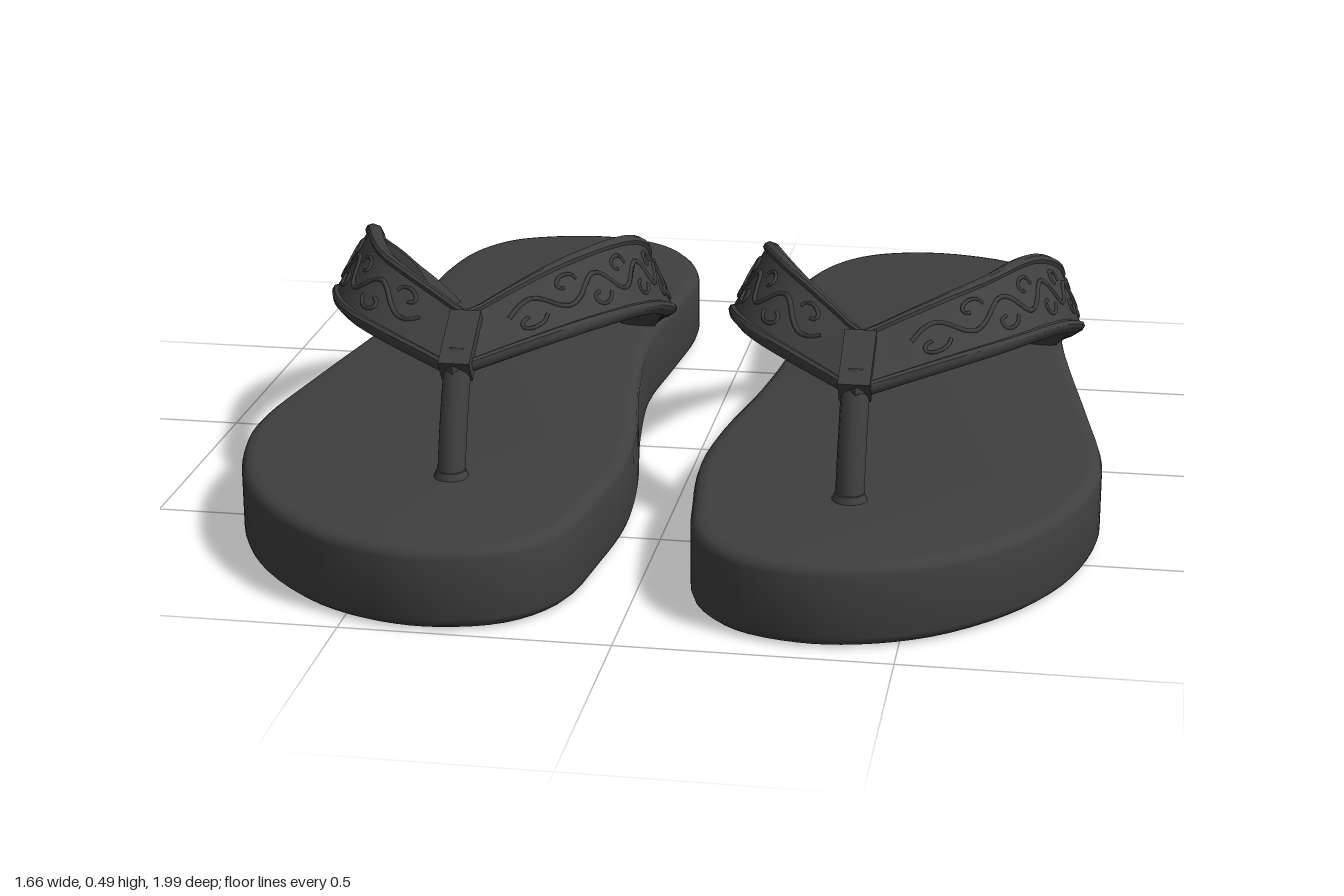
import * as THREE from 'three';
import { mergeGeometries, toCreasedNormals } from 'three/addons/utils/BufferGeometryUtils.js';

const rubber = new THREE.MeshStandardMaterial({ color: 0x3f3f3f });
rubber.name = 'charcoal rubber';

const V = (x, y, z) => new THREE.Vector3(x, y, z);

// Sole outline as [x, z], for the sandal on the +x side
const OUTLINE = [
  [0.41, -0.99], [0.585, -0.94], [0.655, -0.86], [0.695, -0.74], [0.72, -0.4], [0.75, -0.19],
  [0.795, 0.08], [0.83, 0.32], [0.825, 0.45], [0.775, 0.63], [0.69, 0.77], [0.56, 0.89],
  [0.43, 0.945], [0.32, 0.953], [0.2, 0.915], [0.12, 0.82], [0.085, 0.63], [0.07, 0.45],
  [0.085, 0.26], [0.125, 0.02], [0.15, -0.24], [0.135, -0.45], [0.12, -0.66], [0.13, -0.76],
  [0.19, -0.89], [0.27, -0.96],
];

// Upper and lower edges of each strap, from the toe junction to the anchor
const STRAPS = {
  outerStrap: {
    flip: -1,
    upper: [[0.38, 0.42, 0.45], [0.56, 0.475, 0.29], [0.655, 0.465, 0.05], [0.7, 0.39, -0.13], [0.68, 0.28, -0.27], [0.615, 0.13, -0.37]],
    lower: [[0.38, 0.335, 0.58], [0.61, 0.37, 0.41], [0.725, 0.33, 0.13], [0.755, 0.26, -0.1], [0.735, 0.19, -0.28], [0.69, 0.13, -0.43]],
  },
  innerStrap: {
    flip: 1,
    upper: [[0.38, 0.42, 0.45], [0.24, 0.475, 0.26], [0.16, 0.46, 0.03], [0.155, 0.39, -0.13], [0.195, 0.28, -0.26], [0.25, 0.13, -0.37]],
    lower: [[0.38, 0.335, 0.58], [0.165, 0.37, 0.38], [0.09, 0.33, 0.13], [0.085, 0.26, -0.08], [0.125, 0.19, -0.28], [0.18, 0.13, -0.42]],
  },
};

// Strap section [across, thickness]: raised rims around a sunken panel, rounded back
const SECTION = [
  [1, 0], [0.97, 0.7], [0.88, 1], [0.78, 1], [0.72, 0.72], [0, 0.8], [-0.72, 0.72], [-0.78, 1],
  [-0.88, 1], [-0.97, 0.7], [-1, 0], [-0.9, -0.6], [-0.55, -0.9], [0, -1], [0.55, -0.9], [0.9, -0.6],
];

function addMesh(group, name, geometry) {
  const mesh = new THREE.Mesh(geometry, rubber);
  mesh.name = name;
  group.add(mesh);
  return mesh;
}

function soleGeometry(side) {
  const stretch = z => (side > 0 ? z : z * (z > 0 ? 1.037 : 1.01));
  const curve = new THREE.CatmullRomCurve3(OUTLINE.map(([x, z]) => V(x * side, stretch(z), 0)), true);
  const points = curve.getPoints(104).slice(0, -1).map(p => new THREE.Vector2(p.x, p.y));
  const geometry = new THREE.ExtrudeGeometry(new THREE.Shape(points), {
    depth: 0.115, bevelThickness: 0.02, bevelSize: 0.025, bevelOffset: -0.025, bevelSegments: 3,
  });
  geometry.rotateX(Math.PI / 2).translate(0, 0.135, 0);
  return toCreasedNormals(geometry, 0.6);
}

// Returns a function giving the strap's local frame at t from 0 to 1
function strapFrame(strap, side, setBack) {
  const edge = list => new THREE.CatmullRomCurve3(
    list.map(([x, y, z], i) => V(x * side, y, z - (i > 3 ? setBack : 0))));
  const upper = edge(strap.upper), lower = edge(strap.lower);
  const centre = t => upper.getPoint(t).add(lower.getPoint(t)).multiplyScalar(0.5);
  return t => {
    const tangent = centre(Math.min(1, t + 0.01)).sub(centre(Math.max(0, t - 0.01)));
    const across = lower.getPoint(t).sub(upper.getPoint(t)).multiplyScalar(0.5 * strap.flip * side);
    const normal = tangent.cross(across);
    if (t === 0) normal.x = 0;
    normal.normalize();
    const thick = 0.021 + 0.009 * t * t;
    return (s, h) => centre(t).addScaledVector(across, s).addScaledVector(normal, h * thick);
  };
}

function strapGeometry(frame) {
  const rings = 40, n = SECTION.length, positions = [], index = [];
  for (let i = 0; i <= rings; i++) {
    const at = frame(i / rings);
    SECTION.forEach(([s, h]) => positions.push(...at(s, h).toArray()));
  }
  for (let i = 0; i < rings; i++) {
    for (let j = 0; j < n; j++) {
      const a = i * n + j, b = i * n + (j + 1) % n;
      index.push(a, b, a + n, b, b + n, a + n);
    }
  }
  const geometry = new THREE.BufferGeometry();
  geometry.setAttribute('position', new THREE.Float32BufferAttribute(positions, 3));
  geometry.setIndex(index);
  return toCreasedNormals(geometry, 0.7);
}

// Embossed scrollwork: a wavy vine with curls on alternating sides
function scrollGeometry(frame) {
  const tube = (count, radius, pathAt) => {
    const points = Array.from({ length: count + 1 }, (_, i) => {
      const [t, s] = pathAt(i / count);
      return frame(t)(s, 0.8);
    });
    return new THREE.TubeGeometry(new THREE.CatmullRomCurve3(points), count * 2, radius, 5);
  };
  const parts = [tube(40, 0.005, u => [0.08 + 0.82 * u, 0.3 * Math.sin(u * Math.PI * 12)])];
  for (let k = 0; k < 12; k++) {
    const t0 = 0.115 + 0.068 * k, sign = k % 2 ? 1 : -1;
    parts.push(tube(8, 0.004, u => {
      const angle = u * 4.4, r = 1 - 0.6 * u;
      return [t0 + 0.026 * r * Math.cos(angle), sign * (0.3 + 0.28 * r * Math.sin(angle))];
    }));
  }
  return mergeGeometries(parts);
}

function createSandal(side) {
  const sandal = new THREE.Group();
  sandal.name = side > 0 ? 'leftSandal' : 'rightSandal';
  addMesh(sandal, 'sole', soleGeometry(side));

  for (const [name, strap] of Object.entries(STRAPS)) {
    const frame = strapFrame(strap, side, side < 0 && name === 'outerStrap' ? 0.04 : 0);
    addMesh(sandal, name, strapGeometry(frame));
    addMesh(sandal, name + 'Scrollwork', scrollGeometry(frame));
  }

  // Toe post leaning forward into the sole, with a small collar at its foot
  const x = 0.377 * side;
  const post = new THREE.CatmullRomCurve3([V(x, 0.375, 0.535), V(x, 0.31, 0.57), V(x, 0.22, 0.605), V(x, 0.13, 0.63)]);
  addMesh(sandal, 'toePost', new THREE.TubeGeometry(post, 16, 0.027, 12));
  const collar = addMesh(sandal, 'toePostCollar', new THREE.CylinderGeometry(0.028, 0.036, 0.02, 16));
  collar.position.set(x, 0.158, 0.624);

  // Square wrap over the strap junction
  const wrap = addMesh(sandal, 'strapWrap', new THREE.BoxGeometry(0.06, 0.05, 0.13));
  wrap.position.set(x, 0.38, 0.518);
  wrap.rotation.x = 0.58;
  return sandal;
}

export function createModel() {
  const model = new THREE.Group();
  model.name = 'flipFlops';
  model.add(createSandal(1), createSandal(-1));
  return model;
}
